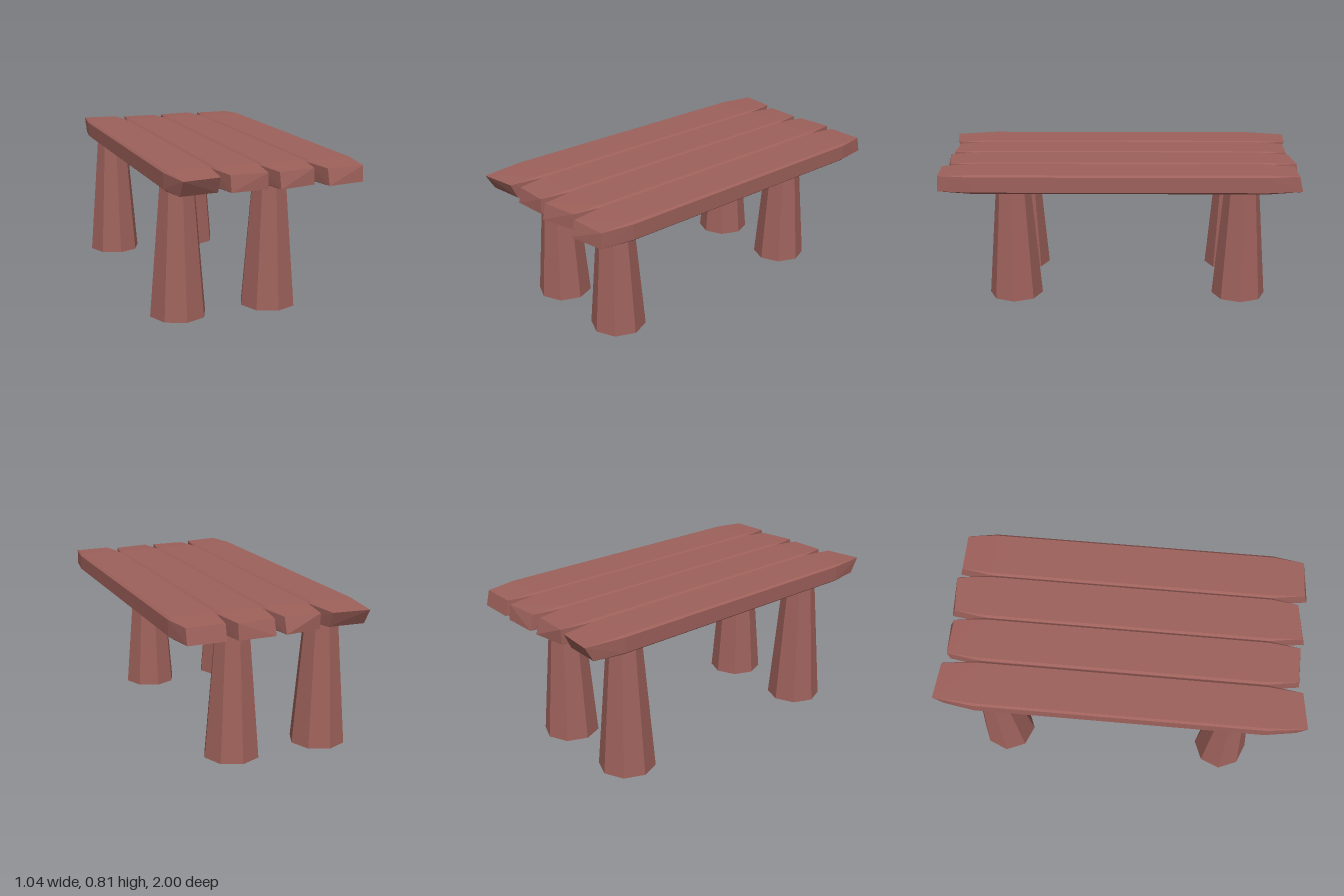
import * as THREE from 'three';
import { ConvexGeometry } from 'three/addons/geometries/ConvexGeometry.js';

const wood = new THREE.MeshStandardMaterial({ color: 0x9e615b, flatShading: true });

// Rough-hewn plank: chamfered middle, tapered ends.
// Each end lists z at [top -x, top +x, bottom -x, bottom +x].
function plankGeometry(x0, x1, front, back) {
  const points = [];
  const add = (x, y, z) => points.push(new THREE.Vector3(x, y, z));
  const bottom = 0.708, top = 0.81, cx = 0.012, cy = 0.01, inset = 0.027;
  for (const z of [-0.78, 0.78]) {
    for (const [y, s] of [[bottom, 1], [top, -1]]) {
      add(x0 + cx, y, z);
      add(x1 - cx, y, z);
      add(x0, y + s * cy, z);
      add(x1, y + s * cy, z);
    }
  }
  for (const end of [front, back]) {
    add(x0 + inset, 0.8, end[0]);
    add(x1 - inset, 0.8, end[1]);
    add(x0 + inset, 0.717, end[2]);
    add(x1 - inset, 0.717, end[3]);
  }
  return new ConvexGeometry(points);
}

export function createModel() {
  const model = new THREE.Group();
  model.name = 'plankTable';

  // Table top
  const planks = [
    [-0.5, -0.247, [1, 0.97, 0.95, 0.93], [-1, -0.98, -0.95, -0.94]],
    [-0.243, 0.006, [0.945, 0.95, 0.96, 0.95], [-0.96, -0.95, -0.955, -0.98]],
    [0.008, 0.262, [0.96, 0.93, 0.98, 0.935], [-0.955, -0.97, -0.98, -0.98]],
    [0.264, 0.52, [0.965, 0.955, 0.99, 0.96], [-0.95, -0.945, -0.97, -0.965]],
  ];
  planks.forEach((p, i) => {
    const plank = new THREE.Mesh(plankGeometry(...p), wood);
    plank.name = `plank${i + 1}`;
    model.add(plank);
  });

  // Tapered eight-sided legs
  const legHeight = 0.72;
  const legGeometry = new THREE.CylinderGeometry(0.091, 0.152, legHeight, 8);
  for (const [side, x] of [['Right', -0.372], ['Left', 0.138]]) {
    for (const [end, z] of [['front', 0.602], ['back', -0.688]]) {
      const leg = new THREE.Mesh(legGeometry, wood);
      leg.name = `${end}${side}Leg`;
      leg.position.set(x, legHeight / 2, z);
      model.add(leg);
    }
  }
  return model;
}
